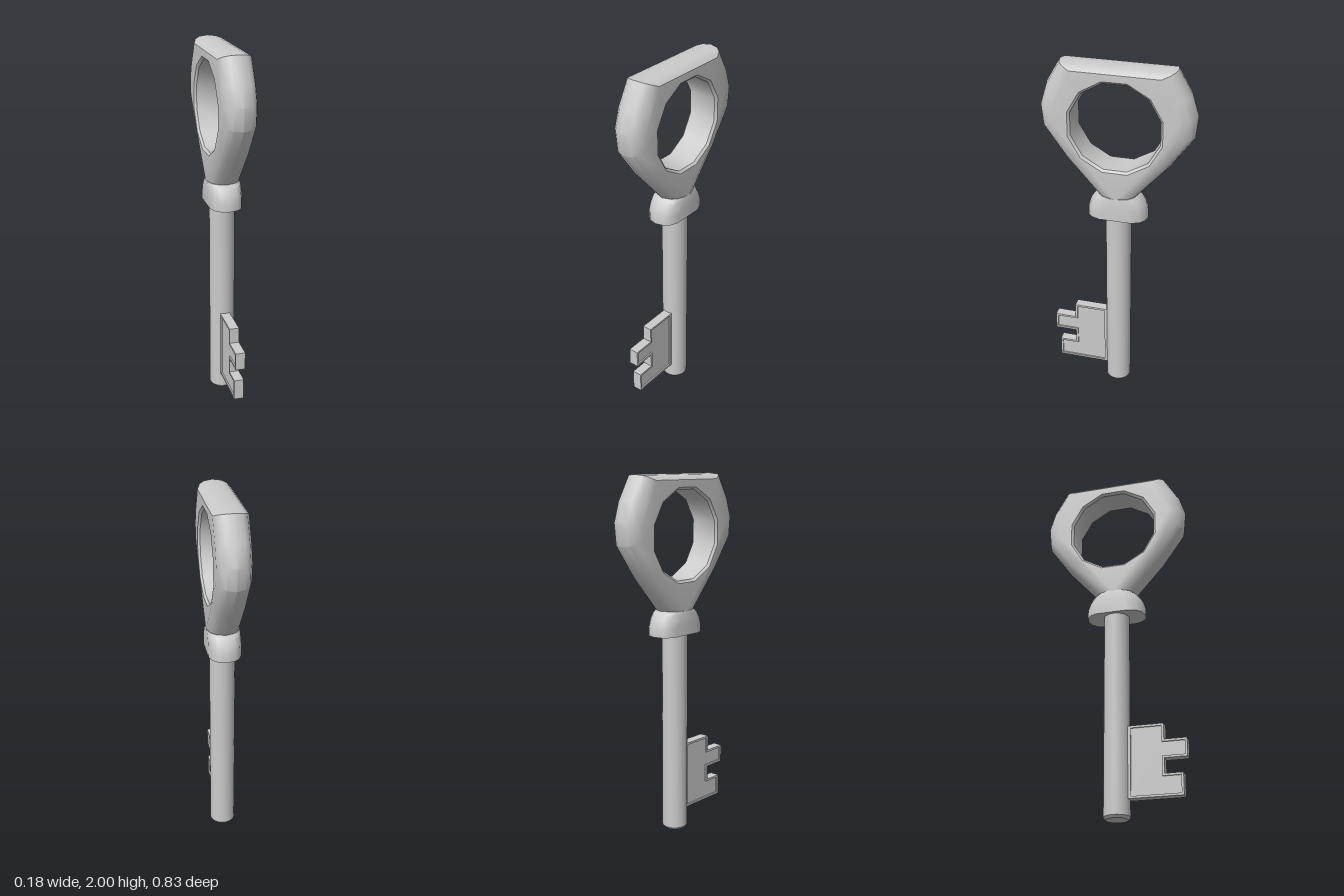
import * as THREE from 'three';
import { mergeGeometries, toCreasedNormals } from 'three/addons/utils/BufferGeometryUtils.js';

const material = new THREE.MeshStandardMaterial({ color: 0xcccccc });
const HALF = 0.09; // half thickness of the head and collar

// [offset from mid plane, blend from outer outline to inner outline]
const ROUNDING = [[-HALF, 1], [-0.073, 0.44], [-0.047, 0.15], [0, 0], [0.047, 0.15], [0.073, 0.44], [HALF, 1]];

const toVectors = (points) => points.map(([u, v]) => new THREE.Vector2(u, v));

// Half outline (bottom to top, u > 0) mirrored into a closed counter-clockwise loop
const mirrorLoop = (half) => [...half, ...half.map(([u, v]) => [-u, v]).reverse()];

// Skin between equal loops stacked along z: rings = [{ w, loop }]
function loft(rings) {
  const n = rings[0].loop.length;
  const positions = rings.flatMap(({ w, loop }) => loop.flatMap(([u, v]) => [u, v, w]));
  const index = [];
  for (let k = 0; k < rings.length - 1; k++) {
    for (let i = 0; i < n; i++) {
      const j = (i + 1) % n;
      const a = k * n + i, b = k * n + j;
      index.push(a, b, b + n, a, b + n, a + n);
    }
  }
  const geometry = new THREE.BufferGeometry();
  geometry.setAttribute('position', new THREE.Float32BufferAttribute(positions, 3));
  geometry.setIndex(index);
  return geometry;
}

// Merge the pieces, crease them and turn the drawing plane to face sideways
function finish(pieces, crease = 0.6) {
  const clean = pieces.map((piece) => {
    const g = piece.index ? piece.toNonIndexed() : piece;
    g.deleteAttribute('uv');
    g.deleteAttribute('normal');
    return g;
  });
  const merged = mergeGeometries(clean);
  merged.computeVertexNormals();
  return toCreasedNormals(merged, crease).rotateY(-Math.PI / 2);
}

// Slab with rounded rim and flat sides, optionally pierced by a chamfered hole
function roundedSlab(outer, inner, hole) {
  const blend = (t) => mirrorLoop(outer.map(([u, v], i) => [
    u + (inner[i][0] - u) * t, v + (inner[i][1] - v) * t,
  ]));
  const pieces = [loft(ROUNDING.map(([w, t]) => ({ w, loop: blend(t) })))];
  const face = new THREE.Shape(toVectors(blend(1)));
  if (hole) {
    const ring = (r) => Array.from({ length: 12 }, (_, i) => {
      const a = -(i + 0.5) * Math.PI / 6;
      return [r * Math.cos(a), hole.y + r * Math.sin(a)];
    });
    face.holes.push(new THREE.Path(toVectors(ring(hole.r + 0.013))));
    pieces.push(loft([[-HALF, 0.013], [-0.078, 0], [0.078, 0], [HALF, 0.013]]
      .map(([w, extra]) => ({ w, loop: ring(hole.r + extra) }))));
  }
  const cap = new THREE.ShapeGeometry(face).translate(0, 0, HALF);
  pieces.push(cap, cap.clone().rotateY(Math.PI));
  return finish(pieces);
}

function extrude(shape, depth) {
  return new THREE.ExtrudeGeometry(shape, { depth, bevelEnabled: false }).translate(0, 0, -depth / 2);
}

export function createModel() {
  const group = new THREE.Group();
  const add = (name, geometry) => {
    const mesh = new THREE.Mesh(geometry, material);
    mesh.name = name;
    group.add(mesh);
  };

  // Bow: rounded handle with a twelve-sided hole
  add('bow', roundedSlab(
    [[0.106, 1.27], [0.275, 1.46], [0.402, 1.64], [0.414, 1.762], [0.38, 1.873], [0.306, 2]],
    [[0.005, 1.27], [0.213, 1.512], [0.328, 1.672], [0.335, 1.757], [0.305, 1.845], [0.235, 1.97]],
    { y: 1.68, r: 0.247 },
  ));

  // Collar: domed block under the bow
  add('collar', roundedSlab(
    [[0.167, 1.14], [0.167, 1.185], [0.153, 1.225], [0.132, 1.258], [0.108, 1.275]],
    [[0.087, 1.14], [0.087, 1.185], [0.073, 1.225], [0.052, 1.258], [0.028, 1.275]],
  ));

  // Shaft with a small chamfer at the tip
  const profile = toVectors([[0, 0], [0.06, 0], [0.071, 0.014], [0.071, 1.15], [0, 1.15]]);
  add('shaft', toCreasedNormals(new THREE.LatheGeometry(profile, 24), 0.6));

  // Bit: toothed plate with a raised rim around a recessed panel
  const edge = toVectors([
    [0.05, 0.1], [0.356, 0.1], [0.356, 0.218], [0.258, 0.218], [0.258, 0.3],
    [0.38, 0.3], [0.38, 0.4], [0.258, 0.4], [0.258, 0.488], [0.05, 0.488],
  ]);
  const panel = toVectors([
    [0.08, 0.112], [0.344, 0.112], [0.344, 0.206], [0.246, 0.206], [0.246, 0.312],
    [0.368, 0.312], [0.368, 0.388], [0.246, 0.388], [0.246, 0.476], [0.08, 0.476],
  ]);
  const rim = new THREE.Shape(edge);
  rim.holes.push(new THREE.Path(panel));
  add('bitRim', finish([extrude(rim, 0.054)]));
  add('bitPanel', finish([extrude(new THREE.Shape(panel), 0.038)]));

  return group;
}
